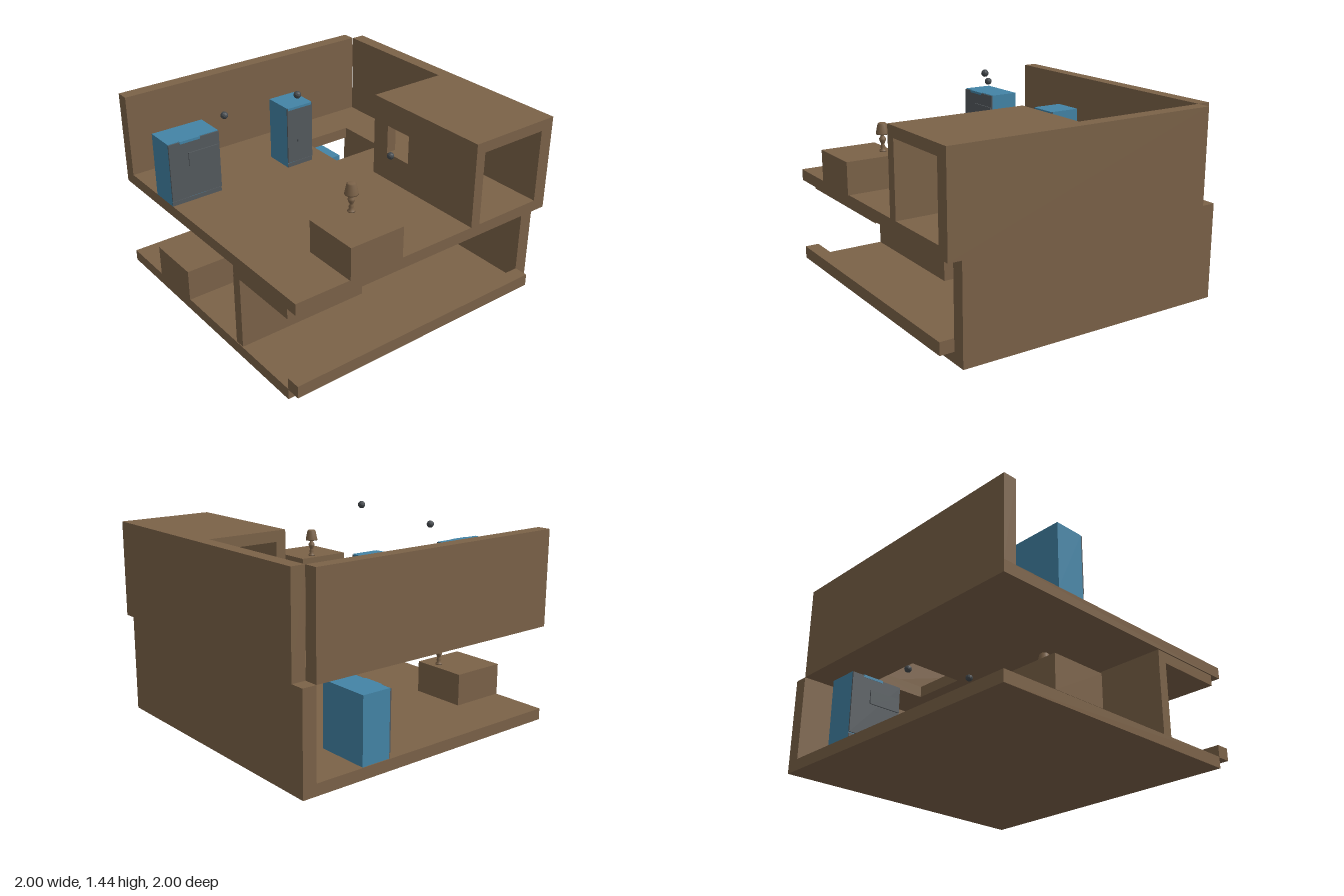
import * as THREE from 'three';

const brown = new THREE.MeshStandardMaterial({ color: 0x7b6248 });
brown.name = 'brown';
const blue = new THREE.MeshStandardMaterial({ color: 0x4384a6 });
blue.name = 'blue';
const grey = new THREE.MeshStandardMaterial({ color: 0x53595d });
grey.name = 'grey';
const charcoal = new THREE.MeshStandardMaterial({ color: 0x44494d, flatShading: true });
charcoal.name = 'charcoal';

const FLOOR = 0.727; // top of the upper floor
const STOREY = 0.65; // height from one floor to the next

// Box given by its lower and upper limits on each axis
function box(parent, name, material, [x0, x1], [y0, y1], [z0, z1]) {
  const mesh = new THREE.Mesh(new THREE.BoxGeometry(x1 - x0, y1 - y0, z1 - z0), material);
  mesh.position.set((x0 + x1) / 2, (y0 + y1) / 2, (z0 + z1) / 2);
  mesh.name = name;
  parent.add(mesh);
  return mesh;
}

// Rectangular slab in the XY plane with one rectangular hole
function holedPanel([x0, x1], [y0, y1], [hx0, hx1], [hy0, hy1], depth) {
  const rect = (path, a, b, c, d) => path.moveTo(a, c).lineTo(b, c).lineTo(b, d).lineTo(a, d).closePath();
  const shape = rect(new THREE.Shape(), x0, x1, y0, y1);
  shape.holes.push(rect(new THREE.Path(), hx0, hx1, hy0, hy1));
  return new THREE.ExtrudeGeometry(shape, { depth, bevelEnabled: false });
}

// Table lamp: turned stem and tapered, domed shade
function lamp(parent, x, y, z) {
  const group = new THREE.Group();
  group.name = 'lamp';
  const lathe = (name, points) => {
    const mesh = new THREE.Mesh(new THREE.LatheGeometry(points.map(([r, h]) => new THREE.Vector2(r, h)), 16), brown);
    mesh.name = name;
    group.add(mesh);
  };
  lathe('lampStem', [[0, 0], [0.024, 0], [0.024, 0.008], [0.012, 0.018], [0.017, 0.032], [0.011, 0.046],
    [0.013, 0.056], [0.022, 0.075], [0.022, 0.088], [0.01, 0.105], [0.008, 0.125], [0, 0.125]]);
  lathe('lampShade', [[0, 0.117], [0.043, 0.117], [0.043, 0.124], [0.03, 0.186], [0.022, 0.192], [0, 0.192]]);
  group.position.set(x, y, z);
  parent.add(group);
}

// Cabinet facing +x with a grey front, plinth, and top trim
function cabinet(parent, name, z0, z1, height, trim) {
  const group = new THREE.Group();
  group.name = name;
  const top = FLOOR + height;
  box(group, 'cabinetBody', blue, [-0.567, -0.362], [FLOOR, top], [z0, z1]);
  box(group, 'cabinetPlinth', grey, [-0.362, -0.358], [FLOOR, FLOOR + 0.03], [z0, z1]);
  box(group, 'cabinetDoor', grey, [-0.362, -0.353], [FLOOR + 0.036, top - 0.004], [z0, z1]);
  box(group, 'cabinetTrim', blue, [-0.362, -0.351], [top - 0.017, top], trim);
  parent.add(group);
  return group;
}

// Partition, ceiling, furniture and lamp shared by both storeys
function fittings(name) {
  const group = new THREE.Group();
  group.name = name;
  const roof = FLOOR + 0.57;

  // Nook: windowed wall under a flat ceiling, open at both ends
  const wall = new THREE.Mesh(
    holedPanel([0.045, 0.99], [FLOOR, roof - 0.073], [0.18, 0.388], [0.925, 1.122], 0.07), brown);
  wall.name = 'windowWall';
  wall.position.z = -0.408;
  group.add(wall);
  box(group, 'nookCeiling', brown, [0.045, 0.99], [roof - 0.073, roof], [-0.905, -0.338]);

  box(group, 'table', brown, [0.61, 0.997], [FLOOR, FLOOR + 0.218], [0.228, 0.617]);
  lamp(group, 0.675, FLOOR + 0.218, 0.36);

  const small = cabinet(group, 'smallCabinet', -0.11, 0.093, 0.443, [-0.1, 0.088]);
  box(small, 'smallCabinetHandle', charcoal, [-0.353, -0.347], [0.91, 0.925], [0.012, 0.018]);
  const wide = cabinet(group, 'wideCabinet', 0.63, 0.995, 0.438, [0.77, 0.915]);
  box(wide, 'wideCabinetPanel', grey, [-0.353, -0.345], [0.983, 1.075], [0.64, 0.86]);
  return group;
}

export function createModel() {
  const model = new THREE.Group();
  model.name = 'twoStoreyRoom';

  // Lower storey shell: floor, back wall and low side ledge
  box(model, 'lowerFloor', brown, [-1, 0.9], [0, 0.077], [-1, 0.995]);
  box(model, 'lowerBackWall', brown, [-1, 0.9], [0.077, 0.65], [-1, -0.905]);
  box(model, 'sideLedge', brown, [0.9, 0.997], [0.073, 0.157], [-0.905, 0.995]);

  // Upper storey shell: floor with a hatch, side wall and back wall
  const upperFloor = new THREE.Mesh(
    holedPanel([-1, 0.99], [-0.995, 0.905], [-0.627, -0.24], [0.24, 0.627], FLOOR - STOREY), brown);
  upperFloor.name = 'upperFloor';
  upperFloor.rotation.x = -Math.PI / 2;
  upperFloor.position.y = STOREY;
  model.add(upperFloor);
  box(model, 'upperSideWall', brown, [-1, -0.908], [FLOOR, 1.297], [-0.905, 0.995]);
  box(model, 'upperBackWall', brown, [-0.905, 0.99], [STOREY, 1.297], [-1, -0.905]);

  // The lower fittings repeat the upper ones, a quarter turn round
  model.add(fittings('upperFittings'));
  const lower = fittings('lowerFittings');
  lower.rotation.y = -Math.PI / 2;
  lower.position.y = -STOREY;
  lower.scale.x = 1;
  // The lower nook stops flush with the lower floor
  const nook = lower.getObjectByName('nookCeiling');
  nook.scale.z = 0.99;
  model.add(lower);

  // Small floating balls
  const ball = new THREE.IcosahedronGeometry(0.025, 1);
  [
    [-0.31, 1.28, 0.607], [-0.04, 1.415, 0.23], [0.245, 0.935, -0.313],
    [-0.612, 0.635, -0.302], [-0.235, 0.635, -0.13], [0.308, 0.288, 0.25],
  ].forEach(([x, y, z]) => {
    const mesh = new THREE.Mesh(ball, charcoal);
    mesh.name = 'ball';
    mesh.position.set(x, y, z);
    model.add(mesh);
  });

  return model;
}
